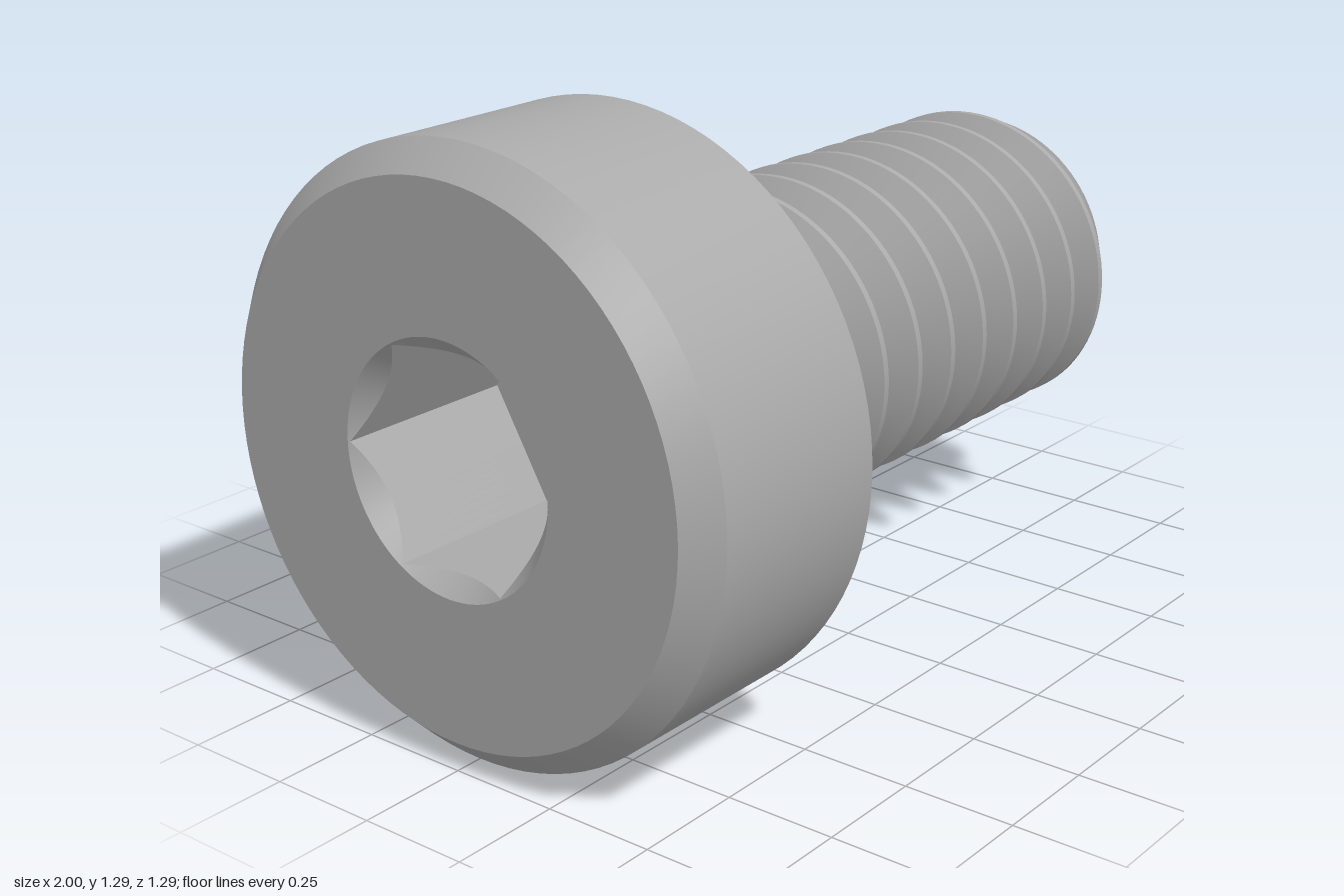
import * as THREE from 'three';
import { toCreasedNormals } from 'three/addons/utils/BufferGeometryUtils.js';

const STEPS = 96;            // divisions around the axis
const HEAD_R = 0.647, SOCKET_R = 0.27, HEAD_BACK = -1, HEAD_FRONT = -0.485;
const PITCH = 0.1295, CREST_R = 0.372, ROOT_R = 0.286;
const CREST_HALF = 0.008, ROOT_HALF = 0.008, FIRST_CREST = -0.4626;
const TIP = 1, TIP_R = 0.273;

// Sweeps a profile of [x, radius] points around the x axis; the profile may change with the angle
function sweep(profileAt) {
  const positions = [], index = [];
  let n = 0;
  for (let i = 0; i <= STEPS; i++) {
    const t = (i / STEPS) * Math.PI * 2;
    const profile = profileAt(t);
    n = profile.length;
    for (const [x, r] of profile) positions.push(x, r * Math.cos(t), r * Math.sin(t));
  }
  for (let i = 0; i < STEPS; i++) {
    for (let j = 0; j < n - 1; j++) {
      const a = i * n + j, b = a + n;
      index.push(a, b, a + 1, b, b + 1, a + 1);
    }
  }
  const geometry = new THREE.BufferGeometry();
  geometry.setAttribute('position', new THREE.Float32BufferAttribute(positions, 3));
  geometry.setIndex(index);
  return toCreasedNormals(geometry, 0.2);
}

// Helical thread, cut by the 45 degree cone at the tip and closed by a flat end
function threadProfile(t) {
  const cone = (x) => TIP_R + TIP - x;
  const flank = PITCH / 2 - CREST_HALF - ROOT_HALF;
  const slope = (CREST_R - ROOT_R) / flank;
  const points = [];
  const add = (x, r) => {
    const cx = THREE.MathUtils.clamp(x, -0.56, TIP);
    points.push([cx, Math.min(r, cone(cx))]);
  };
  for (let k = -1; k <= 11; k++) {
    const crest = FIRST_CREST + PITCH * (k + t / (Math.PI * 2));
    const start = crest - CREST_HALF - flank, end = crest + CREST_HALF + flank;
    let x1 = crest - CREST_HALF, x2 = crest + CREST_HALF;
    // slide the crest corners along the flanks to where they meet the cone
    if (CREST_R > cone(x1)) {
      x1 = Math.max(start, (TIP_R + TIP - ROOT_R + slope * start) / (1 + slope));
    }
    if (CREST_R > cone(x2)) {
      x2 = Math.min(end, (ROOT_R + slope * end - TIP_R - TIP) / (slope - 1));
    }
    add(start, ROOT_R);
    add(x1, Math.min(CREST_R, ROOT_R + slope * (x1 - start)));
    add(x2, Math.min(CREST_R, ROOT_R + slope * (end - x2)));
    add(end, ROOT_R);
  }
  points.push([TIP, TIP_R], [TIP, 0]);
  return points;
}

// Hexagonal socket with a conical lead-in, from the floor centre out to the rim
function socketProfile(t) {
  const side = Math.PI / 3, floor = -0.574;
  const hex = 0.231 / Math.cos(t - Math.round(t / side) * side);
  return [
    [floor, 0],
    [floor, hex],
    [HEAD_BACK + (SOCKET_R - hex) * 1.1, hex],
    [HEAD_BACK, SOCKET_R],
  ];
}

export function createModel() {
  const steel = new THREE.MeshStandardMaterial({ color: 0xaaaaaa });
  steel.name = 'steel grey';

  const screw = new THREE.Group();
  screw.name = 'socketHeadScrew';
  const addPart = (name, geometry) => {
    const mesh = new THREE.Mesh(geometry, steel);
    mesh.name = name;
    mesh.position.y = HEAD_R;
    screw.add(mesh);
  };

  // Cylindrical head with a chamfered outer edge
  addPart('head', sweep(() => [
    [HEAD_BACK, SOCKET_R],
    [HEAD_BACK, 0.585],
    [-0.936, HEAD_R],
    [HEAD_FRONT, HEAD_R],
    [HEAD_FRONT, 0],
  ]));
  addPart('hexSocket', sweep(socketProfile));
  addPart('threadedShaft', sweep(threadProfile));

  return screw;
}
